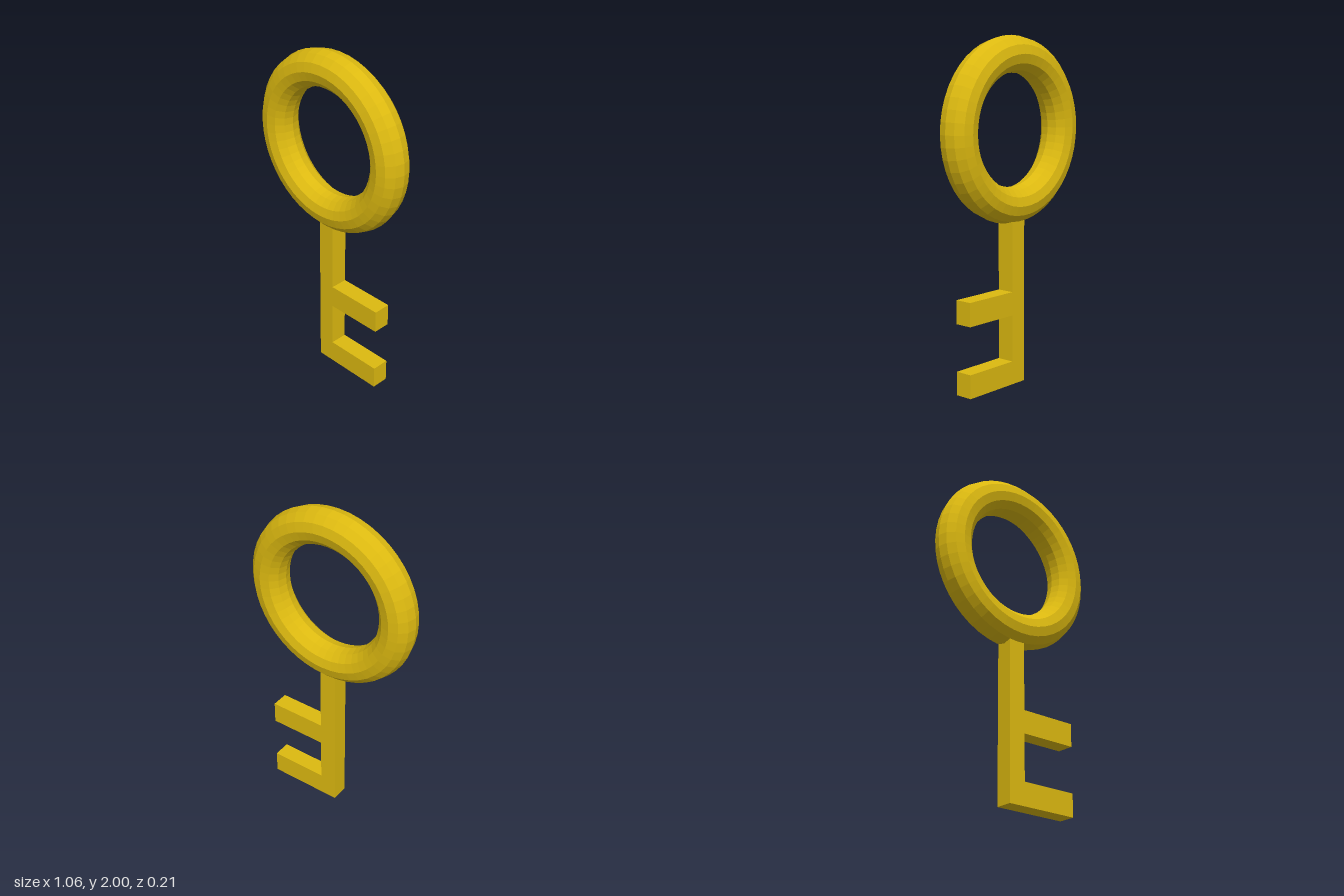
import * as THREE from 'three';

export function createModel() {
  const key = new THREE.Group();
  key.name = 'key';

  const gold = new THREE.MeshStandardMaterial({ color: 0xdcb910, flatShading: true });
  gold.name = 'gold';

  // Ring-shaped handle
  const tube = 0.105;
  const ringRadius = 0.427;
  const bow = new THREE.Mesh(new THREE.TorusGeometry(ringRadius, tube, 12, 48), gold);
  bow.name = 'ringHandle';
  bow.position.y = 2 - ringRadius - tube;
  key.add(bow);

  // Square shaft with two teeth, cut as one outline
  const half = 0.052;
  const reach = 0.403;
  const shaftTop = 1.04;
  const teeth = [[0, 0.137], [0.41, 0.547]];
  const outline = new THREE.Shape();
  outline.moveTo(-half, 0);
  for (const [low, high] of teeth) {
    outline.lineTo(half, low);
    outline.lineTo(reach, low);
    outline.lineTo(reach, high);
    outline.lineTo(half, high);
  }
  outline.lineTo(half, shaftTop);
  outline.lineTo(-half, shaftTop);
  outline.closePath();

  const shaftGeometry = new THREE.ExtrudeGeometry(outline, { depth: half * 2, bevelEnabled: false });
  shaftGeometry.translate(0, 0, -half);
  const shaft = new THREE.Mesh(shaftGeometry, gold);
  shaft.name = 'shaftAndTeeth';
  key.add(shaft);

  return key;
}
